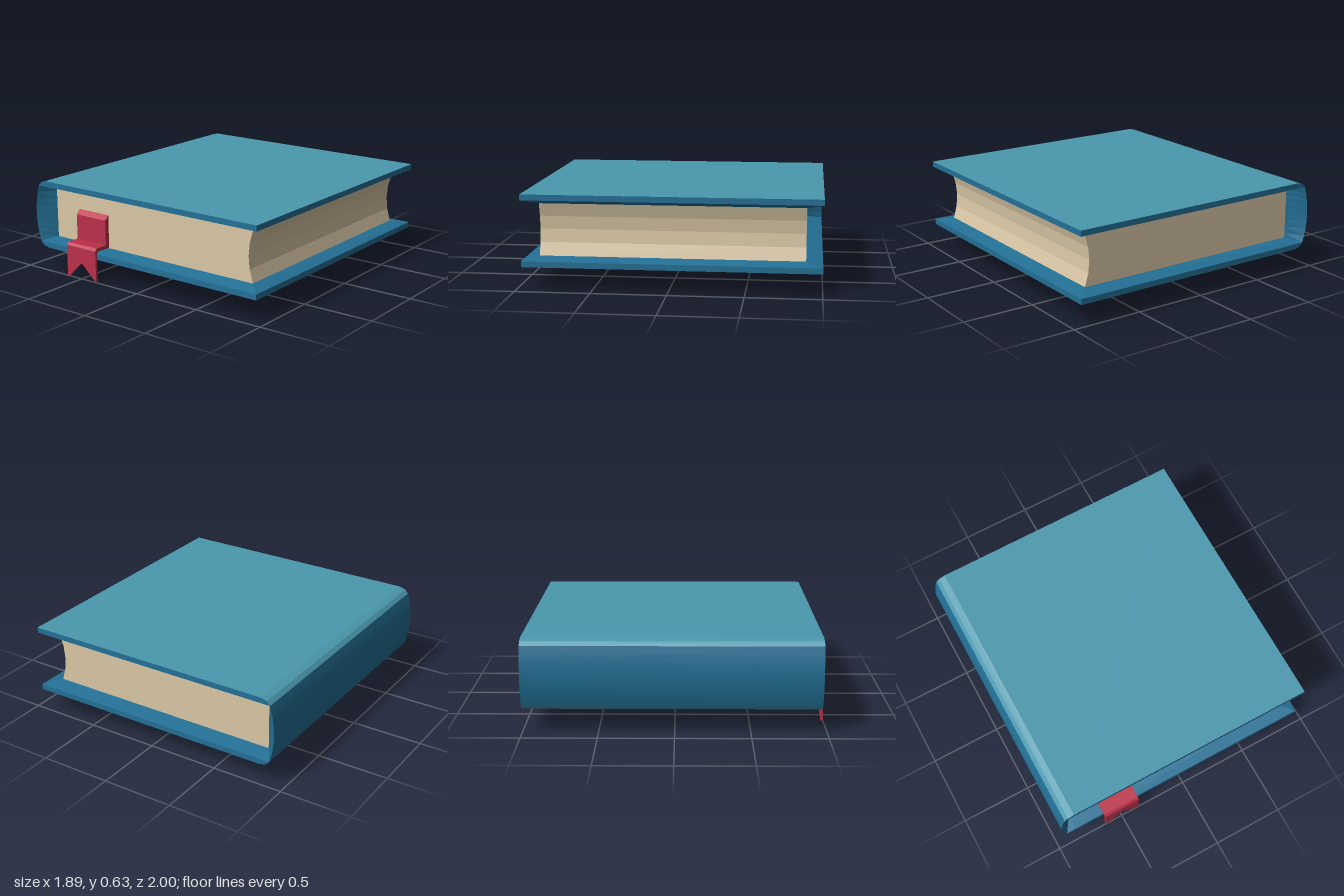
import * as THREE from 'three';

const material = (name, color) => {
  const m = new THREE.MeshStandardMaterial({ color, side: THREE.DoubleSide });
  m.name = name;
  return m;
};

// Main dimensions
const FRONT = 0.965, BACK = -1, PAGE_FRONT = 0.86, PAGE_BACK = -0.89;
const MID = 0.392, EDGE = 0.945, PAGE_X = 0.845, PAGE_LOW = 0.211, PAGE_HIGH = 0.561;

const at = (points, z) => points.map(([x, y]) => new THREE.Vector3(x, y, z));
const along = (x, y, zFront, zBack) => [new THREE.Vector3(x, y, zFront), new THREE.Vector3(x, y, zBack)];

// Surface between two polylines with equal point counts
function loft(a, b, smooth = false) {
  const index = [], n = a.length;
  for (let i = 0; i < n - 1; i++) index.push(i, n + i, i + 1, i + 1, n + i, n + i + 1);
  let g = new THREE.BufferGeometry().setFromPoints([...a, ...b]);
  g.setIndex(index);
  if (!smooth) g = g.toNonIndexed();
  g.computeVertexNormals();
  return g;
}

export function createModel() {
  const book = new THREE.Group();
  book.name = 'book';
  const teal = material('cover teal', 0x4a98ae);
  const blue = material('binding blue', 0x237096);
  const cream = material('page cream', 0xdac8a6);
  const red = material('ribbon red', 0xbc3049);

  const add = (name, geometry, mat, parent = book) => {
    const mesh = new THREE.Mesh(geometry, mat);
    mesh.name = name;
    parent.add(mesh);
    return mesh;
  };

  // Cross-sections, running counterclockwise from the upper fore edge
  const flip = pts => pts.map(([x, y]) => [x, 2 * MID - y]).reverse();
  const topOuter = [[EDGE, 0.633], [-0.845, 0.633], [-0.89, 0.62], [-0.915, 0.594]];
  const topRim = topOuter.map(([x]) => [x, 0.594]);
  const spine = [];
  for (let i = 0; i <= 8; i++) {
    const t = 1 - i / 4;
    spine.push([-0.915 - 0.033 * (1 - t * t), MID + 0.202 * t]);
  }
  const clamp = THREE.MathUtils.clamp;
  const toPage = pts => pts.map(([x, y]) => [clamp(x, -PAGE_X, PAGE_X), clamp(y, PAGE_LOW, PAGE_HIGH)]);

  // Cover boards: outer skin, rims and bevelled inner faces
  for (const upper of [true, false]) {
    const board = new THREE.Group();
    board.name = upper ? 'upperBoard' : 'lowerBoard';
    book.add(board);
    const outer = upper ? topOuter : flip(topOuter);
    const rim = upper ? topRim : flip(topRim);
    const page = toPage(rim);
    const yOuter = upper ? 0.633 : 2 * MID - 0.633;
    const yRim = upper ? 0.594 : 2 * MID - 0.594;
    const yPage = upper ? PAGE_HIGH : PAGE_LOW;
    const order = (a, b) => (upper ? loft(a, b) : loft(b, a));

    add('coverSkin', loft(at(outer, FRONT), at(outer, BACK)), teal, board);
    add('frontRim', loft(at(rim, FRONT), at(outer, FRONT)), blue, board);
    add('backRim', loft(at(outer, BACK), at(rim, BACK)), blue, board);
    add('foreEdgeRim', order(along(EDGE, yOuter, FRONT, BACK), along(EDGE, yRim, FRONT, BACK)), blue, board);
    add('frontInside', loft(at(page, PAGE_FRONT), at(rim, FRONT)), blue, board);
    add('backInside', loft(at(rim, BACK), at(page, PAGE_BACK)), blue, board);
    add('foreEdgeInside', order(along(EDGE, yRim, FRONT, BACK),
      along(PAGE_X, yPage, PAGE_FRONT, PAGE_BACK)), blue, board);
  }

  // Rounded spine with hollow ends
  add('spine', loft(at(spine, FRONT), at(spine, BACK), true), blue);
  add('spineFrontInside', loft(at(toPage(spine), PAGE_FRONT), at(spine, FRONT)), blue);
  add('spineBackInside', loft(at(spine, BACK), at(toPage(spine), PAGE_BACK)), blue);

  // Page block with a concave fore edge
  const pages = new THREE.Shape();
  pages.moveTo(-PAGE_X, PAGE_LOW);
  pages.lineTo(PAGE_X, PAGE_LOW);
  pages.quadraticCurveTo(0.777, (PAGE_LOW + PAGE_HIGH) / 2, PAGE_X, PAGE_HIGH);
  pages.lineTo(-PAGE_X, PAGE_HIGH);
  const pageGeometry = new THREE.ExtrudeGeometry(pages,
    { depth: PAGE_FRONT - PAGE_BACK, bevelEnabled: false, curveSegments: 4 });
  add('pages', pageGeometry.translate(0, 0, PAGE_BACK), cream);

  // Bookmark ribbon: folded strip drawn in side view, then swept across x
  const ribbon = new THREE.Group();
  ribbon.name = 'bookmark';
  book.add(ribbon);
  const fold = new THREE.Shape([
    [0.85, 0.215], [0.975, 0.215], [0.983, 0.205], [0.983, 0.2], [1, 0.2], [1, 0.222],
    [0.985, 0.24], [0.892, 0.24], [0.892, 0.415], [0.862, 0.446], [0.85, 0.446],
  ].map(p => new THREE.Vector2(...p)));
  const foldGeometry = new THREE.ExtrudeGeometry(fold, { depth: 0.265, bevelEnabled: false });
  add('ribbonFold', foldGeometry.rotateY(-Math.PI / 2).translate(-0.365, 0, 0), red, ribbon);

  // Swallow-tailed end
  const tail = new THREE.Shape([
    [-0.63, 0.2], [-0.63, 0], [-0.615, 0], [-0.4975, 0.115], [-0.368, 0], [-0.365, 0], [-0.365, 0.2],
  ].map(p => new THREE.Vector2(...p)));
  const tailGeometry = new THREE.ExtrudeGeometry(tail, { depth: 0.017, bevelEnabled: false });
  add('ribbonTail', tailGeometry.translate(0, 0, 0.983), red, ribbon);

  return book;
}
